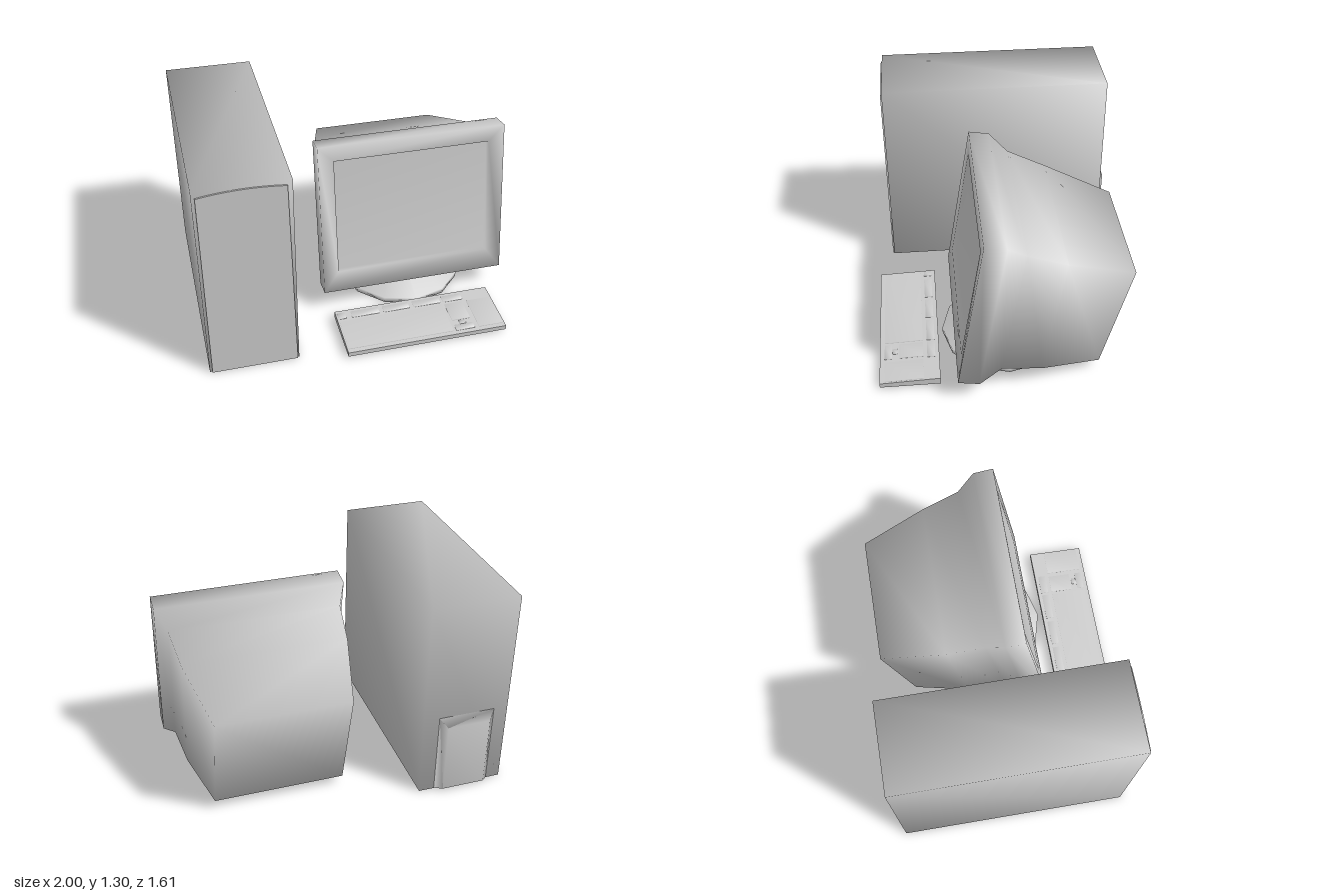
import * as THREE from 'three';

const grey = new THREE.MeshStandardMaterial({ color: 0xcccccc, side: THREE.DoubleSide });

function add(parent, name, geometry, x = 0, y = 0, z = 0) {
  const mesh = new THREE.Mesh(geometry, grey);
  mesh.name = name;
  mesh.position.set(x, y, z);
  parent.add(mesh);
  return mesh;
}

// Skins four-cornered rings [halfWidth, bottomY, bottomZ, topY, topZ], front to back, softly shaded
function loft(rings) {
  const pos = [], idx = [];
  for (const [w, y0, z0, y1, z1] of rings) pos.push(-w, y0, z0, w, y0, z0, w, y1, z1, -w, y1, z1);
  for (let i = 0; i < rings.length - 1; i++) {
    for (let j = 0; j < 4; j++) {
      const a = i * 4 + j, b = i * 4 + (j + 1) % 4, c = a + 4, d = b + 4;
      idx.push(a, c, b, b, c, d);
    }
  }
  const e = (rings.length - 1) * 4;
  idx.push(0, 1, 2, 0, 2, 3, e, e + 2, e + 1, e, e + 3, e + 2);
  const g = new THREE.BufferGeometry();
  g.setAttribute('position', new THREE.Float32BufferAttribute(pos, 3));
  g.setIndex(idx);
  g.computeVertexNormals();
  return g;
}

function rectangle(Type, x0, x1, z0, z1) {
  const p = new Type();
  p.moveTo(x0, -z1);
  p.lineTo(x1, -z1);
  p.lineTo(x1, -z0);
  p.lineTo(x0, -z0);
  p.closePath();
  return p;
}

function createTower() {
  const tower = new THREE.Group();
  tower.name = 'tower';
  add(tower, 'towerCase', loft([
    [0.275, 0, 0.71, 1.305, 0.71],
    [0.275, 0, -0.76, 1.305, -0.76],
  ]), -0.725);

  // Thin front cover with an arched top
  const cover = new THREE.Shape();
  cover.moveTo(-0.985, 0);
  cover.lineTo(-0.46, 0);
  cover.lineTo(-0.48, 1.275);
  cover.quadraticCurveTo(-0.74, 1.305, -0.98, 1.265);
  cover.closePath();
  add(tower, 'frontCover', new THREE.ExtrudeGeometry(cover, { depth: 0.012, bevelEnabled: false }), 0, 0, 0.708);

  // Bevelled housing on the back
  add(tower, 'rearHousing', loft([
    [0.18, 0, -0.76, 0.54, -0.76],
    [0.137, 0.02, -0.805, 0.49, -0.805],
  ]), -0.73);
  return tower;
}

function createMonitor() {
  const monitor = new THREE.Group();
  monitor.name = 'monitor';
  // Recessed screen, bezel, stepped neck and tapering tube housing
  const housing = add(monitor, 'screenAndHousing', loft([
    [0.495, 0.14, -0.04, 0.905, -0.04],
    [0.5, 0.137, -0.005, 0.907, -0.005],
    [0.6, 0, 0, 1.008, 0],
    [0.6, 0, -0.13, 1.008, -0.13],
    [0.54, 0.075, -0.256, 0.928, -0.256],
    [0.51, 0.065, -0.51, 0.862, -0.51],
    [0.41, 0.061, -0.881, 0.765, -0.945],
  ]), 0.4, 0.145, 0.33);
  housing.rotation.x = -0.16;

  // Twelve-sided domed foot
  const profile = [[0, 0], [0.4, 0], [0.4, 0.035], [0.1, 0.165], [0, 0.2]];
  add(monitor, 'stand', new THREE.LatheGeometry(profile.map(p => new THREE.Vector2(...p)), 12), 0.4);
  return monitor;
}

function createKeyboard() {
  const keyboard = new THREE.Group();
  keyboard.name = 'keyboard';
  const topAt = z => 0.045 + (0.8 - z) * 0.04;

  // Key groups as [x0, x1, z0, z1]
  const blocks = [
    [-0.15, 0.53, 0.53, 0.77],
    [0.55, 0.67, 0.53, 0.68],
    [0.59, 0.63, 0.69, 0.72],
    [0.55, 0.67, 0.725, 0.77],
    [0.7, 0.86, 0.53, 0.77],
  ];
  for (const [a, b] of [[-0.15, -0.1], [-0.06, 0.12], [0.15, 0.32], [0.35, 0.53], [0.55, 0.68]]) {
    blocks.push([a, b, 0.455, 0.505]);
  }

  // Wedge-shaped frame with an opening for every key group
  const outline = rectangle(THREE.Shape, -0.16, 0.87, 0.43, 0.8);
  outline.holes = blocks.map(b => rectangle(THREE.Path, ...b));
  const frame = new THREE.ExtrudeGeometry(outline, { depth: 0.03, bevelEnabled: false });
  frame.rotateX(-Math.PI / 2);
  const p = frame.attributes.position;
  for (let i = 0; i < p.count; i++) p.setY(i, p.getY(i) > 0.01 ? topAt(p.getZ(i)) : 0.015);
  frame.computeVertexNormals();
  add(keyboard, 'keyboardFrame', frame);

  // Slightly raised keys
  for (const [x0, x1, z0, z1] of blocks) {
    const t0 = topAt(z0) + 0.006, t1 = topAt(z1) + 0.006;
    add(keyboard, 'keys', loft([
      [(x1 - x0) / 2, t1 - 0.015, z1, t1, z1],
      [(x1 - x0) / 2, t0 - 0.015, z0, t0, z0],
    ]), (x0 + x1) / 2);
  }
  return keyboard;
}

export function createModel() {
  const model = new THREE.Group();
  model.name = 'desktopComputer';
  model.add(createTower(), createMonitor(), createKeyboard());
  return model;
}
